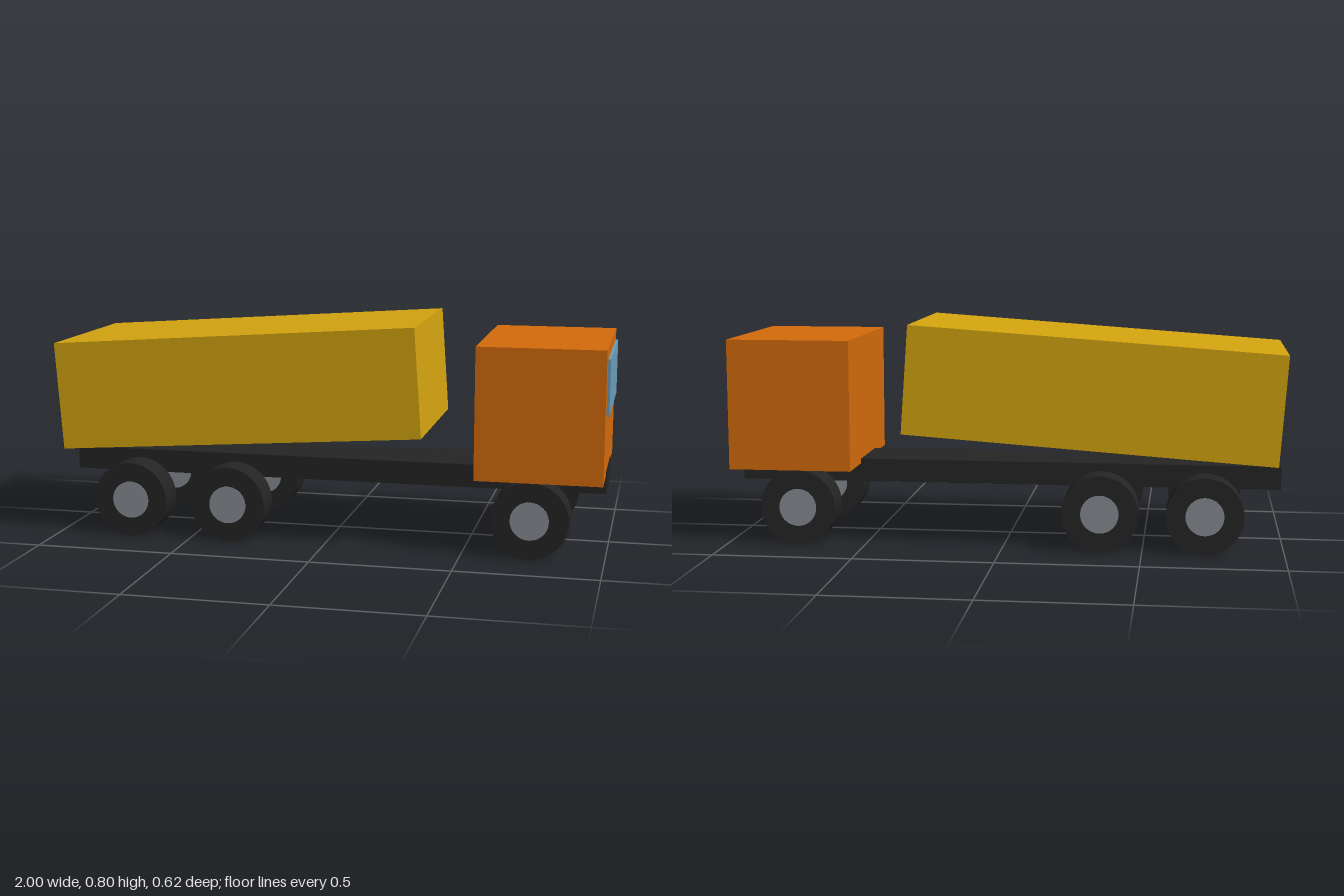
import * as THREE from 'three';

const mat = (name, color, flatShading = false) => {
  const m = new THREE.MeshStandardMaterial({ color, flatShading });
  m.name = name;
  return m;
};

export function createModel() {
  const truck = new THREE.Group();
  truck.name = 'dumpTruck';

  const orange = mat('orangePaint', 0xd46b0c);
  const yellow = mat('yellowPaint', 0xd4a40f);
  const dark = mat('darkRubber', 0x242424);
  const grey = mat('greyMetal', 0x868b92);
  const glass = mat('blueGlass', 0x6b9dba);

  const add = (name, geometry, material, x, y, z) => {
    const mesh = new THREE.Mesh(geometry, material);
    mesh.name = name;
    mesh.position.set(x, y, z);
    truck.add(mesh);
    return mesh;
  };

  // Long frame, ending just ahead of the cab
  add('chassis', new THREE.BoxGeometry(1.982, 0.084, 0.248), dark, 0, 0.248, 0);

  // Cab with windscreen plate facing +x
  add('cab', new THREE.BoxGeometry(0.445, 0.47, 0.62), orange, 0.7665, 0.508, 0);
  add('windscreen', new THREE.BoxGeometry(0.0095, 0.198, 0.524), glass, 0.9945, 0.607, 0);

  // Closed dump body, tipped slightly towards the rear
  const body = add('dumpBody', new THREE.BoxGeometry(1.333, 0.391, 0.62), yellow, -0.32, 0.56, 0);
  body.rotation.z = 0.07;

  // Three axles, a wheel and hub on each side
  const tyreGeo = new THREE.CylinderGeometry(0.137, 0.137, 0.11, 40).rotateX(Math.PI / 2);
  const hubGeo = new THREE.CylinderGeometry(0.068, 0.068, 0.114, 32).rotateX(Math.PI / 2);
  for (const x of [-0.72, -0.35, 0.74]) {
    for (const side of [-1, 1]) {
      add('tyre', tyreGeo, dark, x, 0.137, side * 0.248);
      add('hub', hubGeo, grey, x, 0.137, side * 0.248);
    }
  }

  return truck;
}
